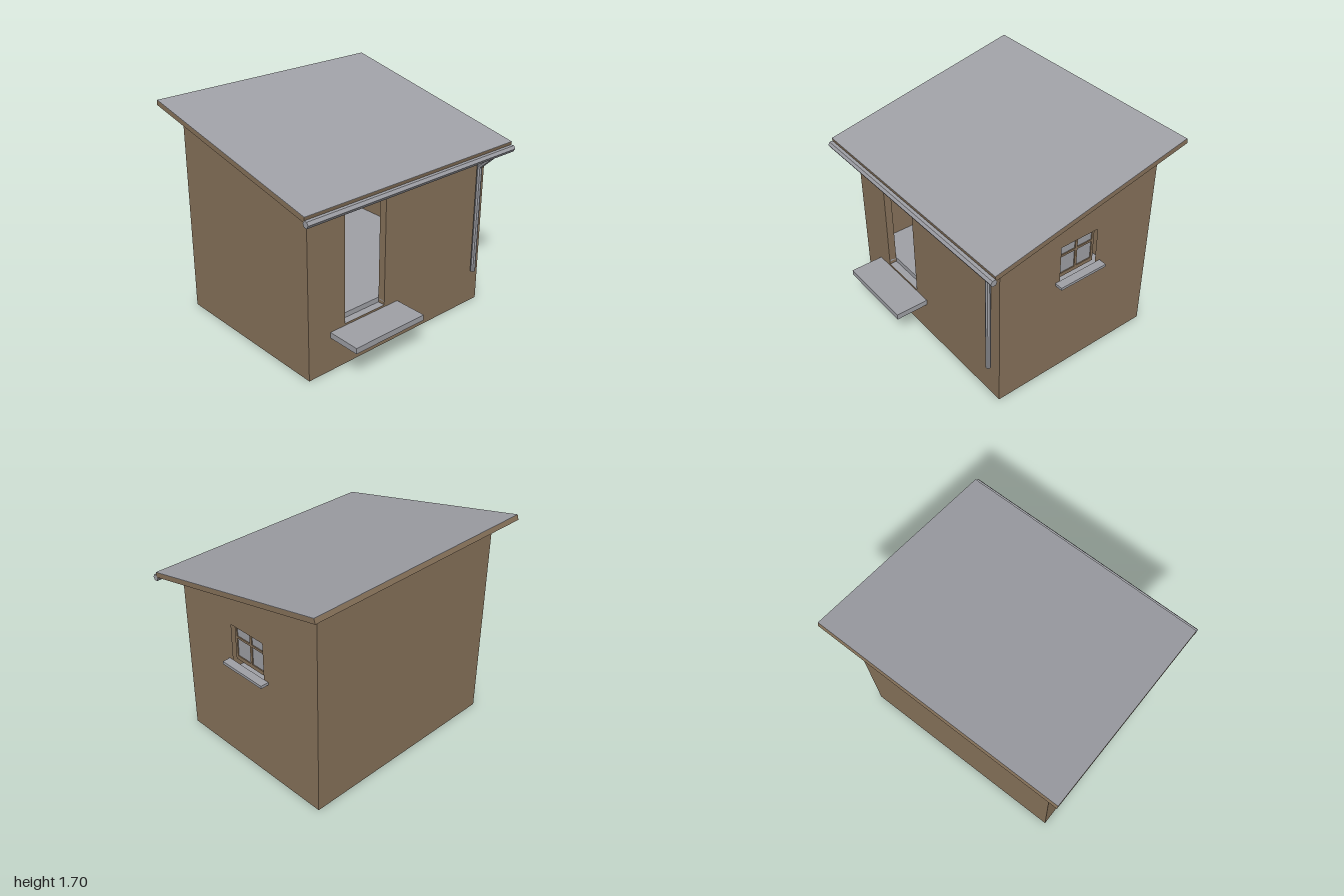
import * as THREE from 'three';

export function createModel() {
  const model = new THREE.Group();
  model.name = 'shed';
  const brown = new THREE.MeshStandardMaterial({ color: 0x88735b, flatShading: true });
  brown.name = 'brown timber';
  const grey = new THREE.MeshStandardMaterial({ color: 0xa0a1a7, flatShading: true });
  grey.name = 'light grey';

  const add = (name, geometry, material) => {
    const mesh = new THREE.Mesh(geometry, material);
    mesh.name = name;
    model.add(mesh);
    return mesh;
  };
  // Box given by its lower and upper bounds
  const box = (name, material, [x0, x1], [y0, y1], [z0, z1]) =>
    add(name, new THREE.BoxGeometry(x1 - x0, y1 - y0, z1 - z0), material)
      .position.set((x0 + x1) / 2, (y0 + y1) / 2, (z0 + z1) / 2);
  const outline = (pts) => new THREE.Shape(pts.map(([a, b]) => new THREE.Vector2(a, b)));
  const extrude = (pts, depth, hole) => {
    const shape = outline(pts);
    if (hole) shape.holes.push(outline(hole));
    return new THREE.ExtrudeGeometry(shape, { depth, bevelEnabled: false });
  };
  // Profile of [z, y] points, swept from x0 to x1
  const sweepX = (pts, x0, x1, hole) => {
    const flip = (list) => list.map(([z, y]) => [-z, y]);
    return extrude(flip(pts), x1 - x0, hole && flip(hole)).rotateY(Math.PI / 2).translate(x0, 0, 0);
  };

  const L = -0.87, R = 0.867, F = 0.63, B = -0.765, T = 0.06, SKIN = 0.004;
  const base = 0.36, sill = 0.33, doorL = -0.54, doorR = -0.16, doorTop = 1.215;

  // Side walls, with a window opening on the left side
  const side = [[F, base], [F, 1.33], [B, 1.63], [B, base]];
  const win = [[0.1, 0.848], [0.1, 1.145], [-0.23, 1.145], [-0.23, 0.848]];
  add('leftWall', sweepX(side, R - T, R, win), brown);
  add('rightWall', sweepX(side, L, L + T), brown);

  // Front wall with the doorway, and back wall
  add('frontWall', extrude([
    [L + T, base], [doorL, base], [doorL, doorTop], [doorR, doorTop],
    [doorR, base], [R - T, base], [R - T, 1.335], [L + T, 1.335],
  ], T).translate(0, 0, F - T), brown);
  box('backWall', brown, [L + T, R - T], [base, 1.628], [B, B + T]);

  // Thin hollow base below the floor
  add('frontBase', extrude([
    [L, 0], [R, 0], [R, base], [doorR, base], [doorR, sill],
    [doorL, sill], [doorL, base], [L, base],
  ], SKIN).translate(0, 0, F - SKIN), brown);
  box('backBase', brown, [L, R], [0, base], [B, B + SKIN]);
  box('leftBase', brown, [R - SKIN, R], [0, base], [B + SKIN, F - SKIN]);
  box('rightBase', brown, [L, L + SKIN], [0, base], [B + SKIN, F - SKIN]);

  // Floor, notched at the doorway, and the lower threshold
  const e = 0.002;
  add('floor', extrude([
    [L + e, -F + e], [doorL, -F + e], [doorL, T - F], [doorR, T - F],
    [doorR, -F + e], [R - e, -F + e], [R - e, -B - e], [L + e, -B - e],
  ], 0.015).rotateX(-Math.PI / 2).translate(0, base - 0.005, 0), grey);
  box('threshold', grey, [doorL, doorR], [sill - 0.01, sill], [F - T, F - e]);
  box('thresholdRiser', grey, [doorL, doorR], [sill - 0.01, base], [F - T - 0.005, F - T]);
  for (const [x0, x1] of [[doorL - 0.005, doorL], [doorR, doorR + 0.005]])
    box('thresholdCheek', brown, [x0, x1], [sill - 0.01, base - 0.005], [F - T, F - SKIN]);

  // Doorstep
  box('doorstep', grey, [-0.675, -0.027], [0.27, 0.315], [F, 0.897]);

  // Sloping roof board with its covering
  add('roofBoard', sweepX([[0.763, 1.302], [0.77, 1.339], [-0.882, 1.692], [-0.893, 1.656]], -1, 1), brown);
  add('roofCover', sweepX([[0.77, 1.339], [0.77, 1.342], [-0.882, 1.695], [-0.882, 1.692]], -1, 1), grey);

  // Window: frame with four panes, and a sill
  const wx = R - 0.03;
  for (const [z0, z1] of [[0.08, 0.1], [-0.077, -0.057], [-0.23, -0.21]])
    box('windowPost', brown, [wx - 0.02, wx], [0.848, 1.145], [z0, z1]);
  for (const [z0, z1] of [[-0.057, 0.08], [-0.21, -0.077]])
    for (const [y0, y1] of [[0.848, 0.88], [1.027, 1.045], [1.125, 1.145]])
      box('windowRail', brown, [wx - 0.02, wx], [y0, y1], [z0, z1]);
  box('windowGlass', grey, [wx - 0.014, wx - 0.008], [0.85, 1.143], [-0.228, 0.098]);
  box('windowSill', grey, [R, 0.932], [0.826, 0.848], [-0.275, 0.14]);

  // Gutter along the front eave
  const gutter = [];
  for (let i = 0; i < 6; i++) {
    const a = (i * Math.PI) / 3;
    gutter.push([0.78 + 0.026 * Math.cos(a), 1.293 + 0.027 * Math.sin(a)]);
  }
  add('gutter', sweepX(gutter, -1, 1), grey);

  // Downpipe: sloping neck and straight drop
  const pipe = (name, from, to) => {
    const a = new THREE.Vector3(...from), b = new THREE.Vector3(...to);
    const dir = b.clone().sub(a);
    const mesh = add(name, new THREE.CylinderGeometry(0.02, 0.02, dir.length(), 8), grey);
    mesh.position.copy(a).add(b).multiplyScalar(0.5);
    mesh.quaternion.setFromUnitVectors(new THREE.Vector3(0, 1, 0), dir.normalize());
  };
  pipe('downpipeNeck', [0.78, 1.17, 0.66], [0.78, 1.28, 0.775]);
  pipe('downpipe', [0.78, 0.285, 0.66], [0.78, 1.18, 0.66]);

  return model;
}
